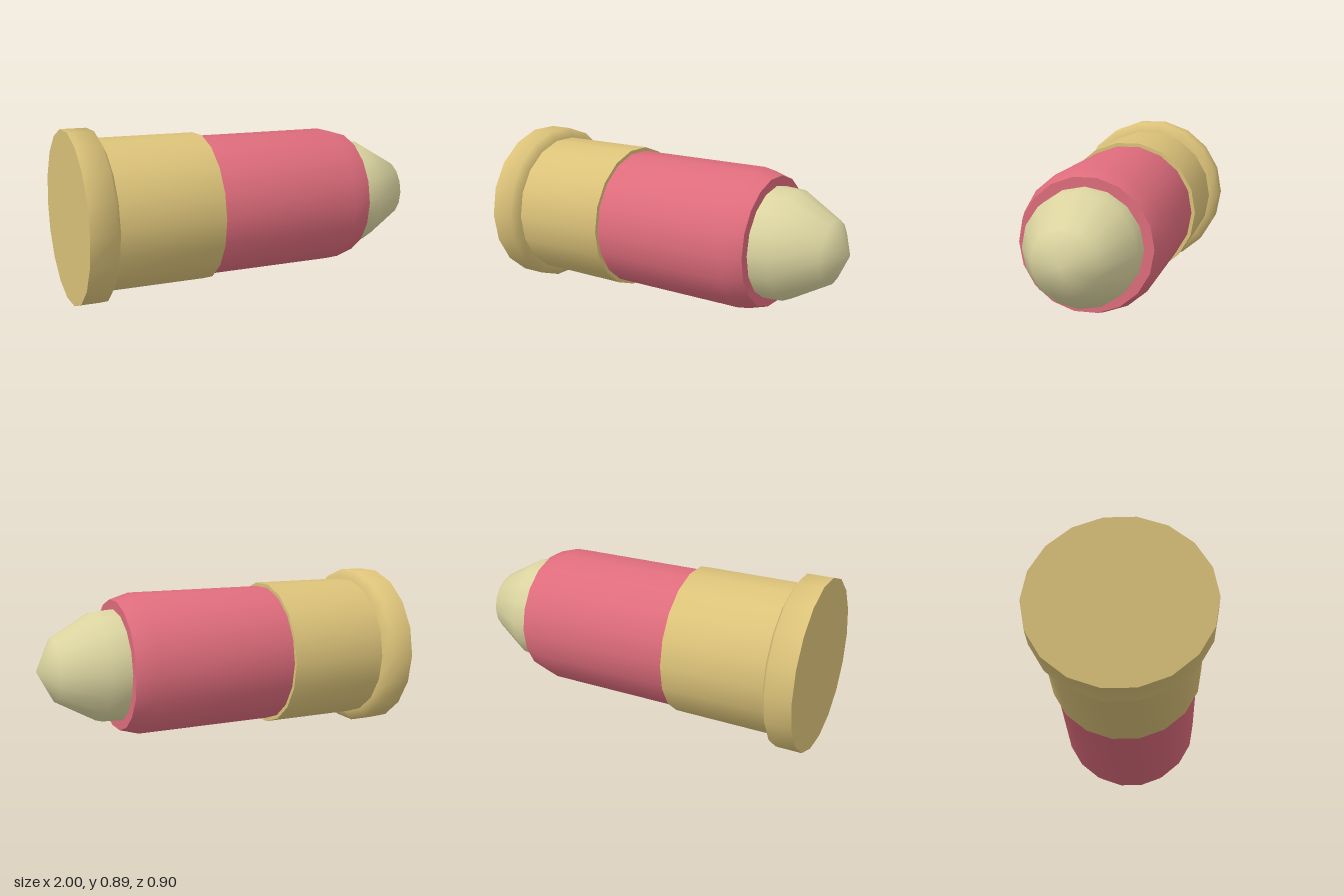
import * as THREE from 'three';
import { toCreasedNormals } from 'three/addons/utils/BufferGeometryUtils.js';

const AXIS_HEIGHT = 0.445;

// Turned part lying along x; profile is [radius, x] from back to front
function turned(name, profile, sides, material) {
  const points = profile.map(([r, x]) => new THREE.Vector2(r, x));
  const lathe = new THREE.LatheGeometry(points, sides);
  lathe.rotateZ(-Math.PI / 2);
  const mesh = new THREE.Mesh(toCreasedNormals(lathe, 1.2), material);
  mesh.name = name;
  mesh.position.y = AXIS_HEIGHT;
  return mesh;
}

export function createModel() {
  const brass = new THREE.MeshStandardMaterial({ color: 0xdbc279 });
  brass.name = 'brass';
  const pink = new THREE.MeshStandardMaterial({ color: 0xde6c7c });
  pink.name = 'pink';
  const cream = new THREE.MeshStandardMaterial({ color: 0xdbd4a0 });
  cream.name = 'cream';

  const group = new THREE.Group();
  group.name = 'cartridge';
  group.add(
    // Base flange with a chamfered front edge
    turned('rim', [[0, -1], [0.45, -1], [0.45, -0.865], [0.396, -0.838], [0, -0.838]], 18, brass),
    // Straight case
    turned('case', [[0.396, -0.85], [0.396, -0.29], [0, -0.29]], 18, brass),
    // Sleeve with a bevelled mouth
    turned('sleeve', [[0.376, -0.3], [0.376, 0.48], [0.345, 0.585], [0, 0.585]], 18, pink),
    // Rounded, pointed nose
    turned('tip', [[0.295, 0.57], [0.295, 0.59], [0.289, 0.695], [0.166, 0.913], [0, 1]], 16, cream)
  );
  return group;
}
